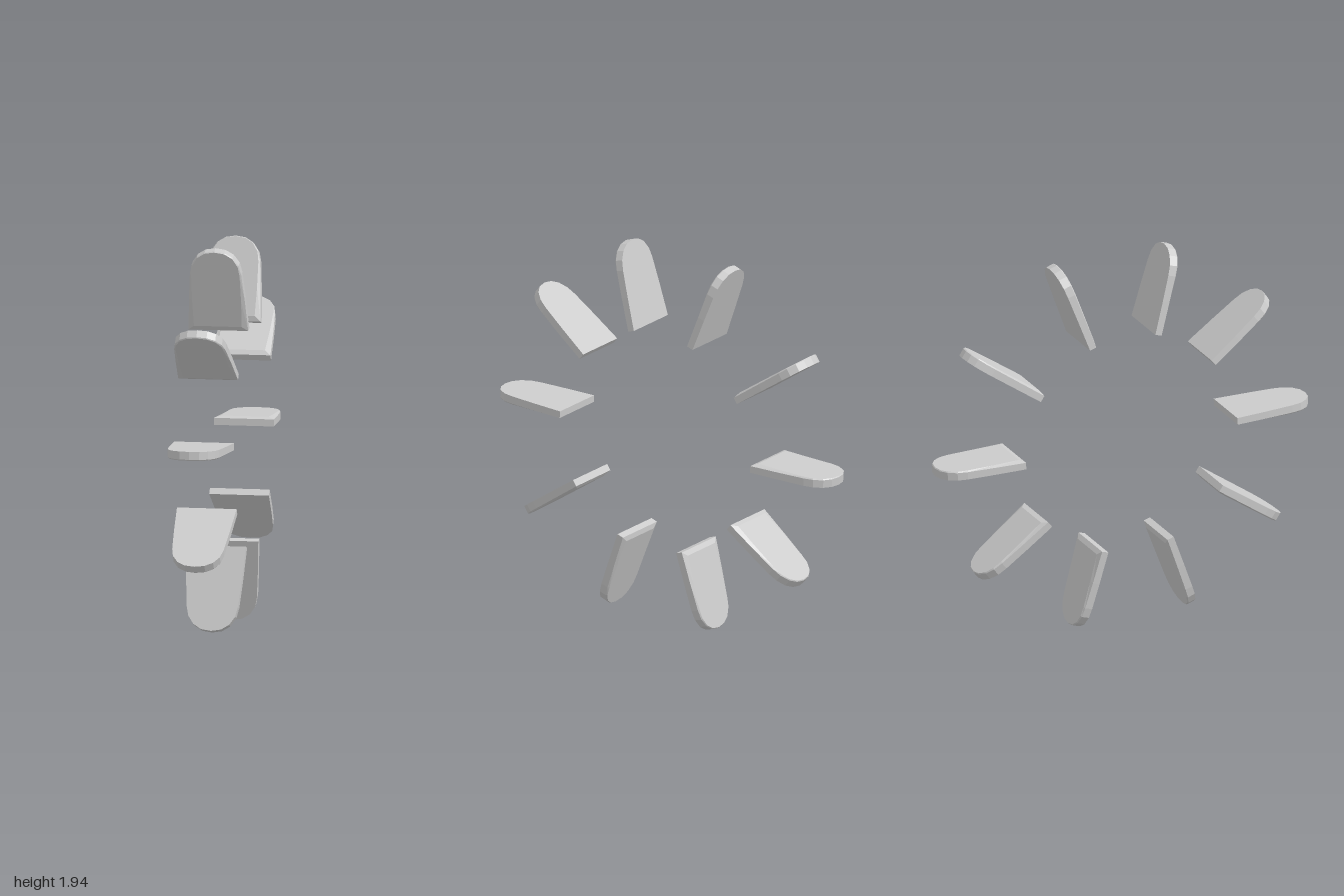
import * as THREE from 'three';

// Half outline of a paddle: [half width, distance from the ring centre], tip to root
const HALF = [[0.05, 0.992], [0.09, 0.967], [0.118, 0.925], [0.129, 0.875], [0.14, 0.74], [0.15, 0.57]];
const ROOT = 0.57;

function paddleGeometry() {
  const mirrored = HALF.map(([x, r]) => [-x, r]).reverse();
  const outline = [[0, 1], ...HALF, ...mirrored];
  const along = (r) => (r - ROOT) / (1 - ROOT);

  // Three loops: flat face, lower rim, and the inset edge of the bevelled face
  const face = outline.map(([x, r]) => [x, 0.022, r]);
  const rim = outline.map(([x, r]) => [x, -0.013 - 0.005 * along(r), r]);
  const inset = outline.map(([x, r]) => [
    x * (1 - 0.2 * (1 - along(r))), -0.023, r === ROOT ? r + 0.025 : r - 0.004,
  ]);

  const pos = [];
  const tri = (a, b, c) => pos.push(...a, ...b, ...c);
  const n = outline.length;
  const band = (low, high) => {
    for (let i = 0; i < n; i++) {
      const j = (i + 1) % n;
      tri(low[i], low[j], high[j]);
      tri(low[i], high[j], high[i]);
    }
  };
  band(rim, face);
  band(inset, rim);

  // Caps
  const midFace = [0, 0.022, 0.78], midInset = [0, -0.023, 0.78];
  for (let i = 0; i < n; i++) {
    const j = (i + 1) % n;
    tri(midFace, face[i], face[j]);
    tri(midInset, inset[j], inset[i]);
  }

  const geo = new THREE.BufferGeometry();
  geo.setAttribute('position', new THREE.Float32BufferAttribute(pos, 3));
  geo.computeVertexNormals();
  return geo;
}

export function createModel() {
  const model = new THREE.Group();
  model.name = 'paddleRing';
  const geo = paddleGeometry();
  const mat = new THREE.MeshStandardMaterial({ color: 0xcccccc, flatShading: true });

  // Ten paddles spaced evenly around the x axis
  const count = 10;
  for (let i = 0; i < count; i++) {
    const paddle = new THREE.Mesh(geo, mat);
    paddle.name = 'paddle' + (i + 1);
    paddle.position.y = 0.97;
    paddle.rotation.x = -(THREE.MathUtils.degToRad(3) + (i * 2 * Math.PI) / count);
    model.add(paddle);
  }
  return model;
}
